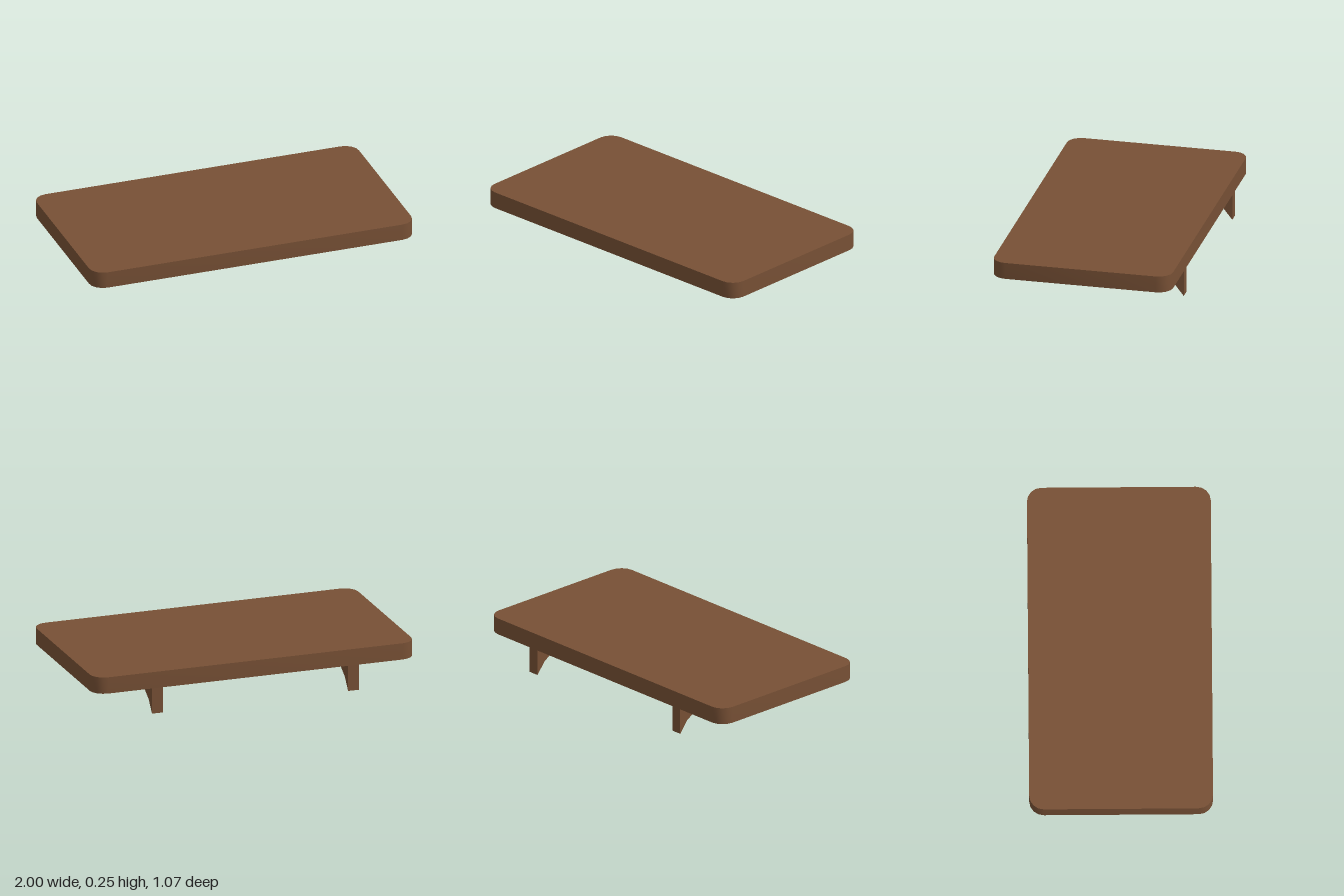
import * as THREE from 'three';
import { toCreasedNormals } from 'three/addons/utils/BufferGeometryUtils.js';

const HALF_X = 1, HALF_Z = 0.537, RADIUS = 0.085;
const BOTTOM = 0.155, THICKNESS = 0.1;
const BRACKET_X = 0.61, BRACKET_WIDTH = 0.068;

// Rounded rectangle outline of the board
function boardShape() {
  const s = new THREE.Shape();
  const cx = HALF_X - RADIUS, cz = HALF_Z - RADIUS;
  s.absarc(cx, cz, RADIUS, 0, Math.PI / 2);
  s.absarc(-cx, cz, RADIUS, Math.PI / 2, Math.PI);
  s.absarc(-cx, -cz, RADIUS, Math.PI, Math.PI * 1.5);
  s.absarc(cx, -cz, RADIUS, Math.PI * 1.5, Math.PI * 2);
  s.closePath();
  return s;
}

function extrude(shape, depth) {
  return new THREE.ExtrudeGeometry(shape, { depth, bevelEnabled: false, curveSegments: 2 });
}

export function createModel() {
  const model = new THREE.Group();
  model.name = 'wallShelf';
  const wood = new THREE.MeshStandardMaterial({ color: 0x775035 });
  wood.name = 'brown wood';

  // Board, extruded upward
  const boardGeometry = extrude(boardShape(), THICKNESS);
  boardGeometry.rotateX(-Math.PI / 2).translate(0, BOTTOM, 0);
  const board = new THREE.Mesh(toCreasedNormals(boardGeometry, 0.9), wood);
  board.name = 'board';
  model.add(board);

  // Curved brackets at the back; profile is (distance behind centre, height)
  const profile = [[0.105, BOTTOM], [0.395, 0.122], [0.48, 0.072], [HALF_Z, 0], [HALF_Z, BOTTOM]];
  const bracketShape = new THREE.Shape(profile.map(([d, y]) => new THREE.Vector2(d, y)));
  const bracketGeometry = extrude(bracketShape, BRACKET_WIDTH);
  bracketGeometry.translate(0, 0, -BRACKET_WIDTH / 2).rotateY(Math.PI / 2);
  const smoothBracket = toCreasedNormals(bracketGeometry, 0.6);
  for (const side of [1, -1]) {
    const bracket = new THREE.Mesh(smoothBracket, wood);
    bracket.name = side > 0 ? 'leftBracket' : 'rightBracket';
    bracket.position.x = side * BRACKET_X;
    model.add(bracket);
  }
  return model;
}
